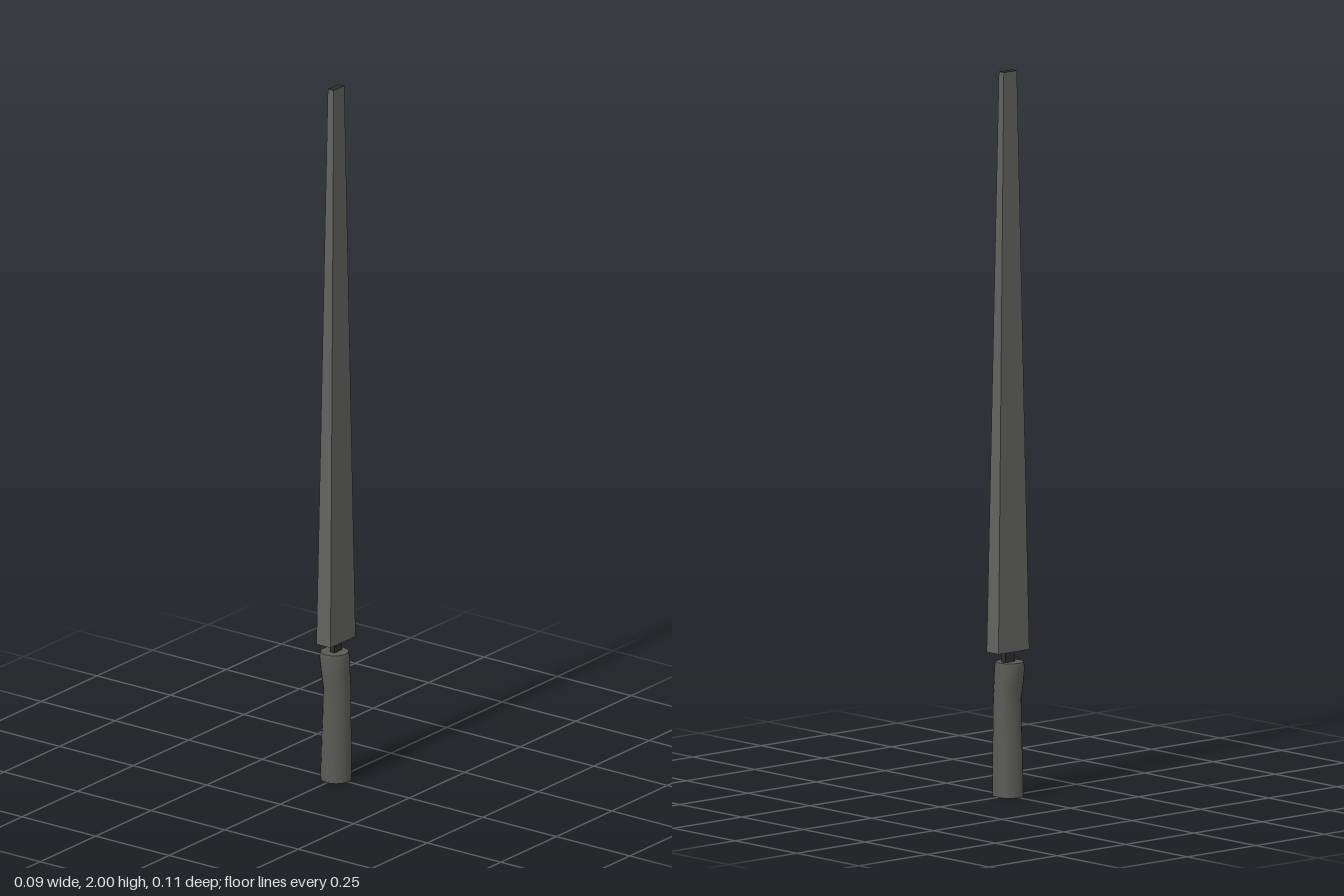
import * as THREE from 'three';

// Box whose bottom and top faces have their own half width (x) and z range
function taperedBox(y0, y1, bottom, top) {
  const geo = new THREE.BoxGeometry(2, 1, 1);
  const p = geo.attributes.position;
  for (let i = 0; i < p.count; i++) {
    const up = p.getY(i) > 0;
    const [hx, back, front] = up ? top : bottom;
    p.setXYZ(i, p.getX(i) * hx, up ? y1 : y0, p.getZ(i) > 0 ? front : back);
  }
  geo.computeVertexNormals();
  return geo;
}

// Points of one grip section: [y, left, right, back, front, roundness of the back]
function section([y, x0, x1, z0, z1, power], n) {
  const ring = [];
  for (let i = 0; i < n; i++) {
    const a = (i / n) * Math.PI * 2;
    const c = Math.cos(a), s = Math.sin(a);
    const e = s < 0 ? power : 1;
    ring.push([
      (x0 + x1) / 2 + ((x1 - x0) / 2) * Math.sign(c) * Math.abs(c) ** e,
      y,
      (z0 + z1) / 2 + ((z1 - z0) / 2) * s,
    ]);
  }
  return ring;
}

// Smooth-sided, flat-capped body through the sections
function loft(levels, n) {
  const rings = levels.map((l) => section(l, n));
  const pos = rings.flat(2), index = [];
  for (let r = 0; r < rings.length - 1; r++) {
    for (let i = 0; i < n; i++) {
      const j = (i + 1) % n, a = r * n + i, b = r * n + j;
      index.push(a, a + n, b, b, a + n, b + n);
    }
  }
  for (const top of [false, true]) {
    const ring = top ? rings[rings.length - 1] : rings[0];
    const base = pos.length / 3;
    pos.push(...ring.flat());
    for (let i = 1; i < n - 1; i++) {
      if (top) index.push(base, base + i + 1, base + i);
      else index.push(base, base + i, base + i + 1);
    }
  }
  const geo = new THREE.BufferGeometry();
  geo.setAttribute('position', new THREE.Float32BufferAttribute(pos, 3));
  geo.setIndex(index);
  geo.computeVertexNormals();
  return geo;
}

function material(name, color) {
  const m = new THREE.MeshStandardMaterial({ color });
  m.name = name;
  return m;
}

export function createModel() {
  const model = new THREE.Group();
  model.name = 'sword';
  const steel = material('grey steel', 0x62625f);
  const dark = material('dark iron', 0x2c2c2e);
  const wrap = material('grip grey', 0x5a5a55);

  const add = (name, geometry, mat) => {
    const mesh = new THREE.Mesh(geometry, mat);
    mesh.name = name;
    model.add(mesh);
  };

  // Long blade tapering to a blunt tip, with dark end faces
  add('blade', taperedBox(0.4, 2, [0.024, -0.058, 0.055], [0.01, -0.026, 0.022]),
    [steel, steel, dark, dark, steel, steel]);

  // Thin tang joining blade and grip
  add('tang', taperedBox(0.36, 0.41, [0.008, -0.018, 0.016], [0.008, -0.018, 0.016]), dark);

  // Grip, squarer at the back, with a slight waist below its swollen top
  add('grip', loft([
    [0, -0.043, 0.042, -0.039, 0.039, 0.65],
    [0.1, -0.039, 0.042, -0.038, 0.039, 0.65],
    [0.2, -0.034, 0.041, -0.037, 0.039, 0.65],
    [0.27, -0.031, 0.04, -0.037, 0.04, 0.65],
    [0.31, -0.035, 0.04, -0.036, 0.045, 0.75],
    [0.355, -0.042, 0.04, -0.036, 0.045, 0.85],
    [0.37, -0.039, 0.037, -0.034, 0.042, 0.9],
  ], 20), wrap);

  return model;
}
